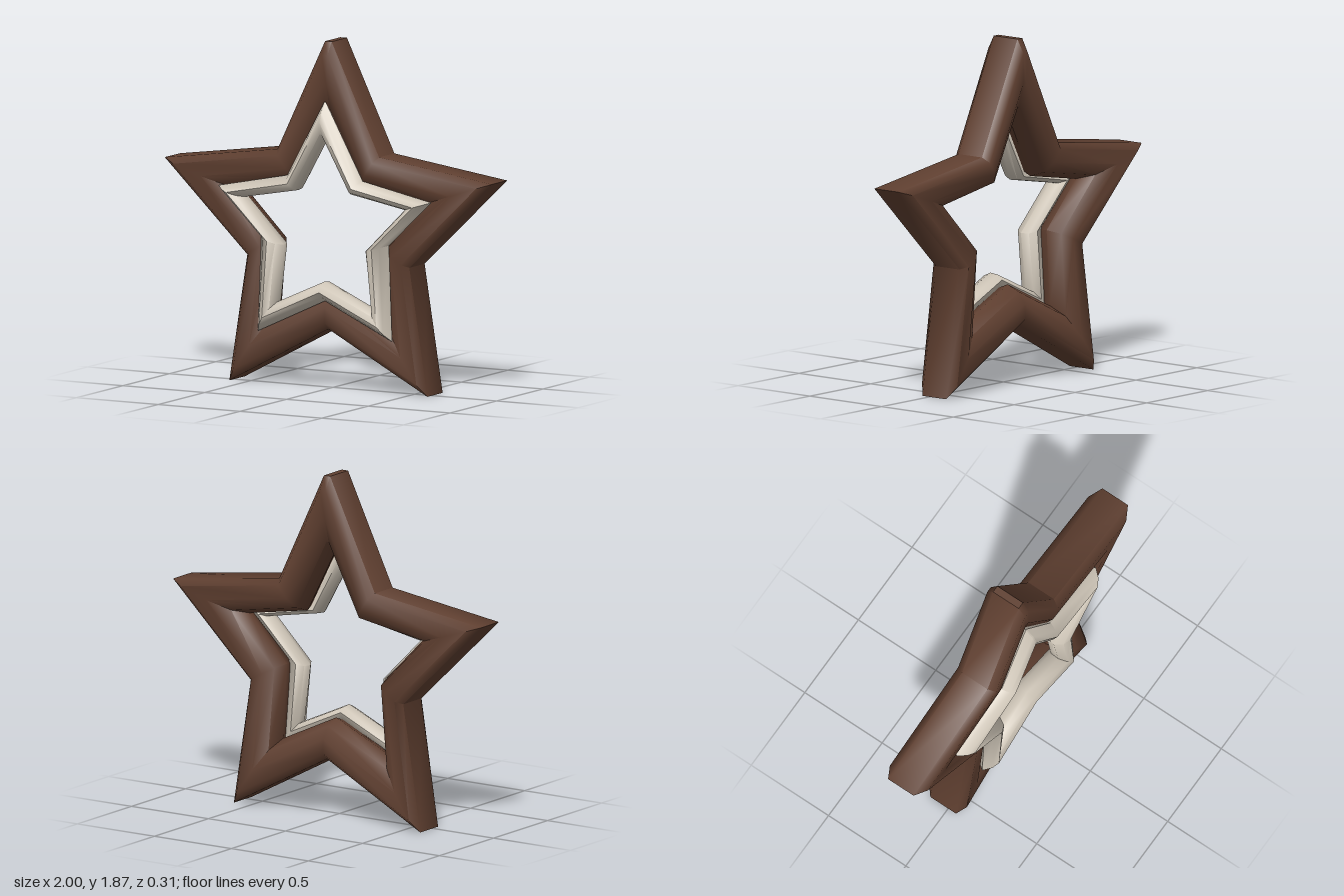
import * as THREE from 'three';
import { toCreasedNormals } from 'three/addons/utils/BufferGeometryUtils.js';

// Right half of a star outline, mirrored into a closed clockwise loop.
function mirrorLoop(half) {
  const left = half.slice(0, -1).reverse().map(([x, y]) => [-x, y]);
  return [...half, ...left];
}

// Sweeps a closed section of [t, z] points round the star;
// t runs from the outer outline (0) to the inner outline (1).
function starTube(name, outerHalf, innerHalf, section, color) {
  const outer = mirrorLoop(outerHalf), inner = mirrorLoop(innerHalf);
  const n = outer.length, m = section.length;
  const positions = [], index = [];
  for (let i = 0; i < n; i++) {
    for (const [t, z] of section) {
      positions.push(
        THREE.MathUtils.lerp(outer[i][0], inner[i][0], t),
        THREE.MathUtils.lerp(outer[i][1], inner[i][1], t), z);
    }
    for (let j = 0; j < m; j++) {
      const i2 = (i + 1) % n, j2 = (j + 1) % m;
      const a = i * m + j, b = i * m + j2, c = i2 * m + j2, d = i2 * m + j;
      index.push(a, b, c, a, c, d);
    }
  }
  const geometry = new THREE.BufferGeometry();
  geometry.setAttribute('position', new THREE.Float32BufferAttribute(positions, 3));
  geometry.setIndex(index);
  const mesh = new THREE.Mesh(
    toCreasedNormals(geometry, 1.0),
    new THREE.MeshStandardMaterial({ color }));
  mesh.name = name;
  return mesh;
}

export function createModel() {
  const group = new THREE.Group();
  group.name = 'starFrame';

  // Thick rounded outer star with a slightly blunt top
  group.add(starTube('outerStar',
    [[0.02, 1.865], [0.31, 1.265], [1, 1.17], [0.495, 0.685], [0.605, 0], [0, 0.32]],
    [[0.004, 1.44], [0.185, 1.09], [0.56, 1.025], [0.32, 0.78], [0.345, 0.37], [0, 0.53]],
    [[0, 0.05], [0.17, 0.09], [0.55, 0.09], [0.85, 0.05], [1, -0.03],
      [0.85, -0.11], [0.55, -0.15], [0.17, -0.155], [0, -0.115]],
    0x5f3f30));

  // Pale trim set in the front of the opening
  group.add(starTube('innerTrim',
    [[0.004, 1.545], [0.23, 1.135], [0.65, 1.05], [0.39, 0.80], [0.41, 0.285], [0, 0.475]],
    [[0.004, 1.335], [0.16, 1.06], [0.49, 1.0], [0.25, 0.76], [0.29, 0.45], [0, 0.58]],
    [[0, 0.085], [0.25, 0.13], [0.5, 0.152], [0.8, 0.135], [1, 0.09],
      [0.95, 0.04], [0.7, 0.01], [0.3, 0.03]],
    0xcfc6b8));

  return group;
}
